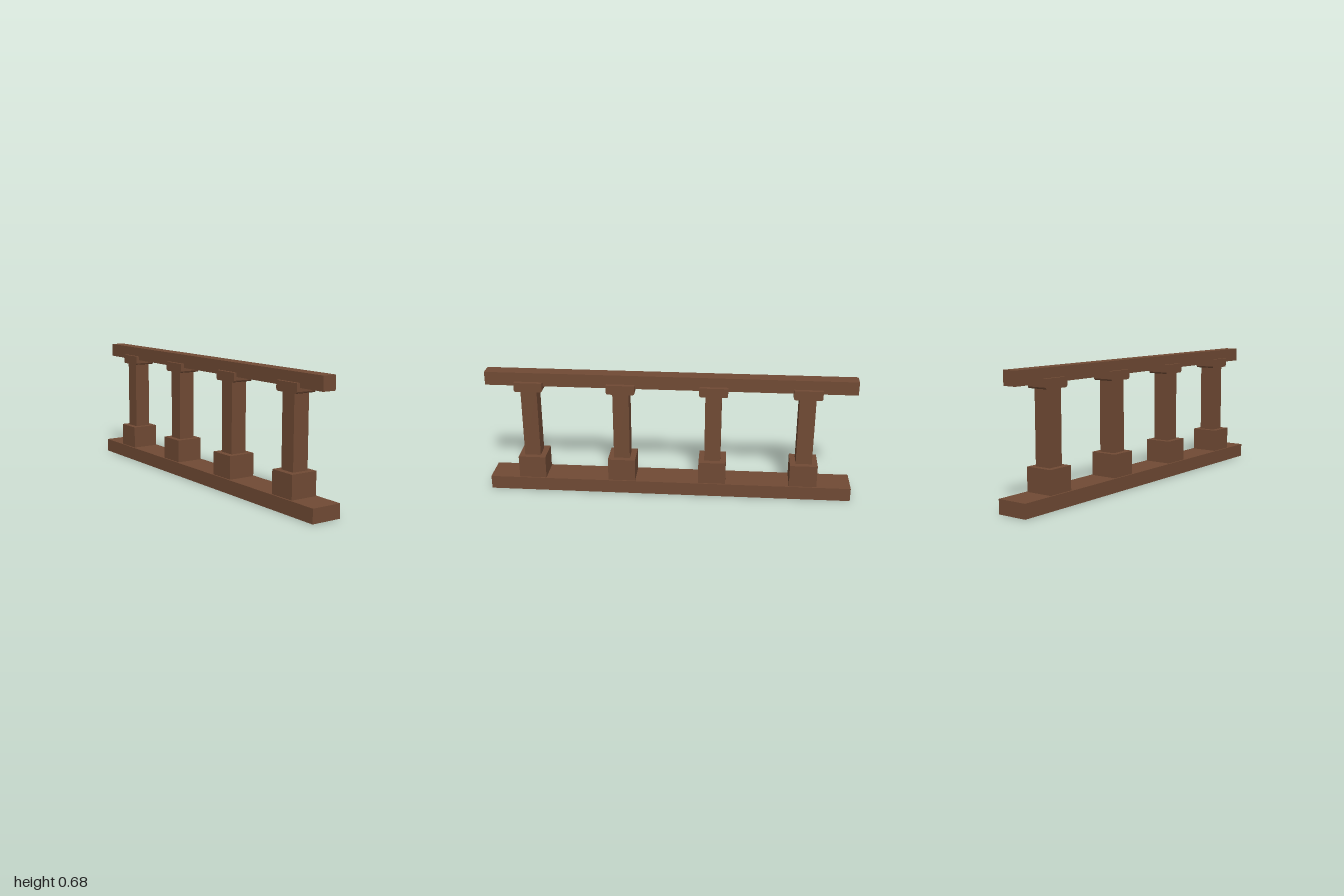
import * as THREE from 'three';

export function createModel() {
  const model = new THREE.Group();
  model.name = 'railing';
  const wood = new THREE.MeshStandardMaterial({ color: 0x704a34 });
  wood.name = 'brown wood';

  // Box given by its width, depth and bottom and top heights
  const box = (name, w, d, y0, y1, x = 0) => {
    const mesh = new THREE.Mesh(new THREE.BoxGeometry(w, y1 - y0, d), wood);
    mesh.name = name;
    mesh.position.set(x, (y0 + y1) / 2, 0);
    return mesh;
  };

  // Floor beam and handrail run the full length
  model.add(box('floorBeam', 0.168, 2, 0, 0.075));
  model.add(box('handrail', 0.075, 2, 0.61, 0.684));

  // Cap profile across z: square top, softened lower edges, extruded along x
  const h = 0.077, y0 = 0.582, y1 = 0.633;
  const profile = new THREE.Shape([
    [h, y1], [-h, y1], [-h, y0 + 0.009], [-h + 0.003, y0 + 0.003], [-h + 0.009, y0],
    [h - 0.009, y0], [h - 0.003, y0 + 0.003], [h, y0 + 0.009],
  ].map(([z, y]) => new THREE.Vector2(z, y)));
  const capGeometry = new THREE.ExtrudeGeometry(profile, { depth: 0.115, bevelEnabled: false });
  capGeometry.translate(0, 0, -0.0575).rotateY(-Math.PI / 2);

  // Four evenly spaced balusters
  for (let i = 0; i < 4; i++) {
    const baluster = new THREE.Group();
    baluster.name = `baluster${i + 1}`;
    const cap = new THREE.Mesh(capGeometry, wood);
    cap.name = 'cap';
    cap.position.x = 0.002;
    baluster.add(
      box('plinth', 0.151, 0.15, 0.07, 0.2, 0.001),
      box('post', 0.09, 0.088, 0.19, 0.59, 0.002),
      cap,
    );
    baluster.position.z = 0.762 - i * 0.5;
    model.add(baluster);
  }
  return model;
}
